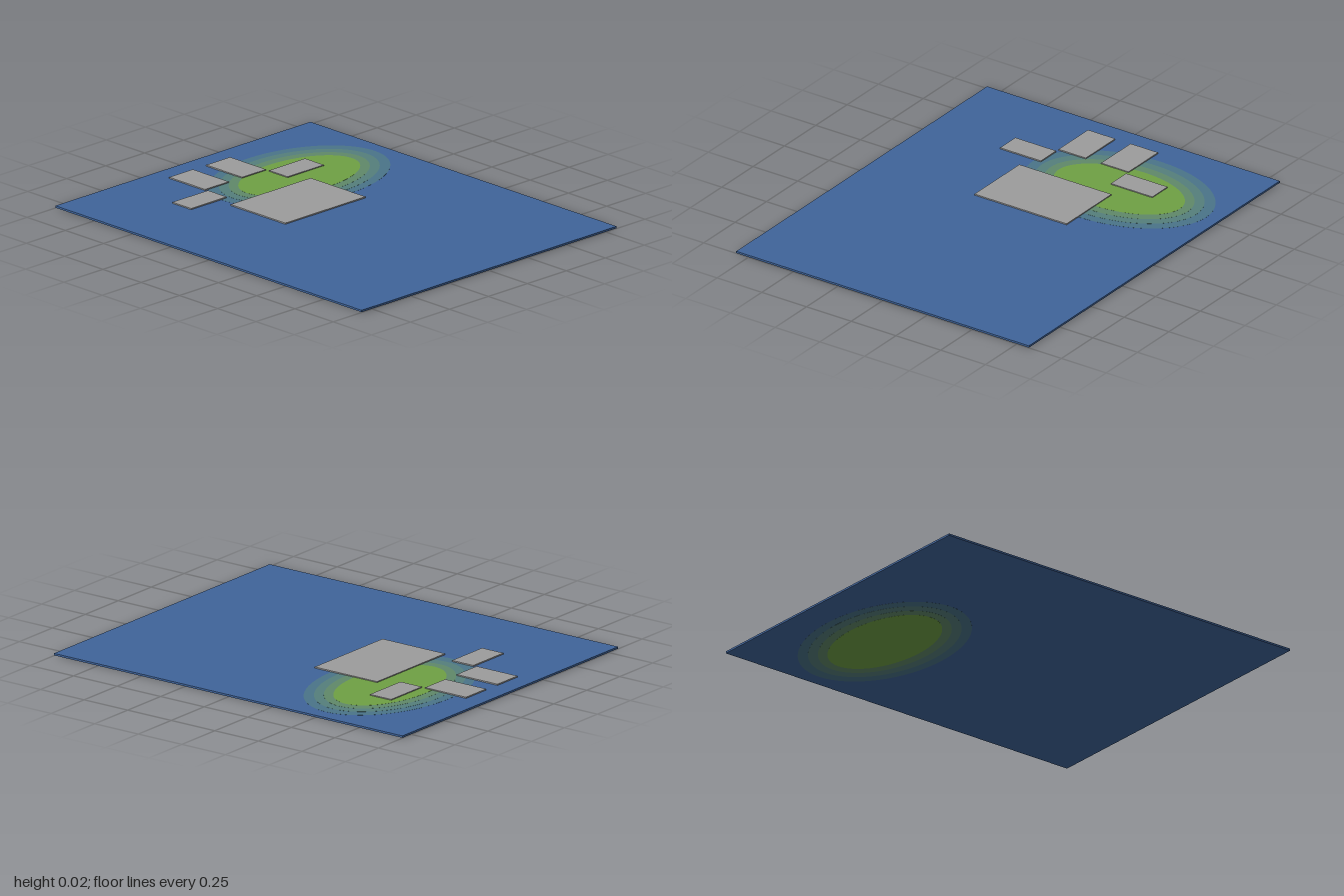
import * as THREE from 'three';

const material = (name, color) => {
  const m = new THREE.MeshStandardMaterial({ color });
  m.name = name;
  return m;
};

export function createModel() {
  const model = new THREE.Group();
  model.name = 'gardenPlate';
  const blue = material('blue', 0x3f649a);
  const grey = material('grey', 0x9c9c9c);

  // Thin box given by its x, y and z ranges
  const slab = (name, mat, [x0, x1], [y0, y1], [z0, z1]) => {
    const mesh = new THREE.Mesh(new THREE.BoxGeometry(x1 - x0, y1 - y0, z1 - z0), mat);
    mesh.position.set((x0 + x1) / 2, (y0 + y1) / 2, (z0 + z1) / 2);
    mesh.name = name;
    model.add(mesh);
  };

  // Base sheet
  slab('baseSheet', blue, [-0.818, 0.818], [0.0015, 0.011], [-1, 1]);

  // Nested ovals running through the sheet, each slightly thicker than the one around it
  const ovals = [
    ['outerHalo', 'tealBlue', 0x4a7489, 0.485, 0.333],
    ['middleHalo', 'teal', 0x557f7c, 0.432, 0.289],
    ['innerHalo', 'seaGreen', 0x60896a, 0.384, 0.245],
    ['greenOval', 'green', 0x6fa044, 0.339, 0.2],
  ];
  ovals.forEach(([name, colorName, color, rx, rz], i) => {
    const thickness = 0.0095 + (i + 1) * 0.00075;
    const oval = new THREE.Mesh(
      new THREE.CylinderGeometry(1, 1, thickness, 64), material(colorName, color));
    oval.scale.set(rx, 1, rz);
    oval.position.set(0.265, 0.00625, -0.51);
    oval.name = name;
    model.add(oval);
  });

  // Grey plates: one large pad with four smaller ones around it
  const plates = [
    ['largePlate', [-0.245, 0.27], [-0.44, -0.082]],
    ['rightSidePlate', [-0.413, -0.185], [-0.648, -0.526]],
    ['rightBackPlate', [-0.185, -0.033], [-0.902, -0.667]],
    ['leftBackPlate', [0.053, 0.206], [-0.902, -0.667]],
    ['leftSidePlate', [0.206, 0.438], [-0.648, -0.526]],
  ];
  for (const [name, x, z] of plates) slab(name, grey, x, [0.009, 0.017], z);

  return model;
}
